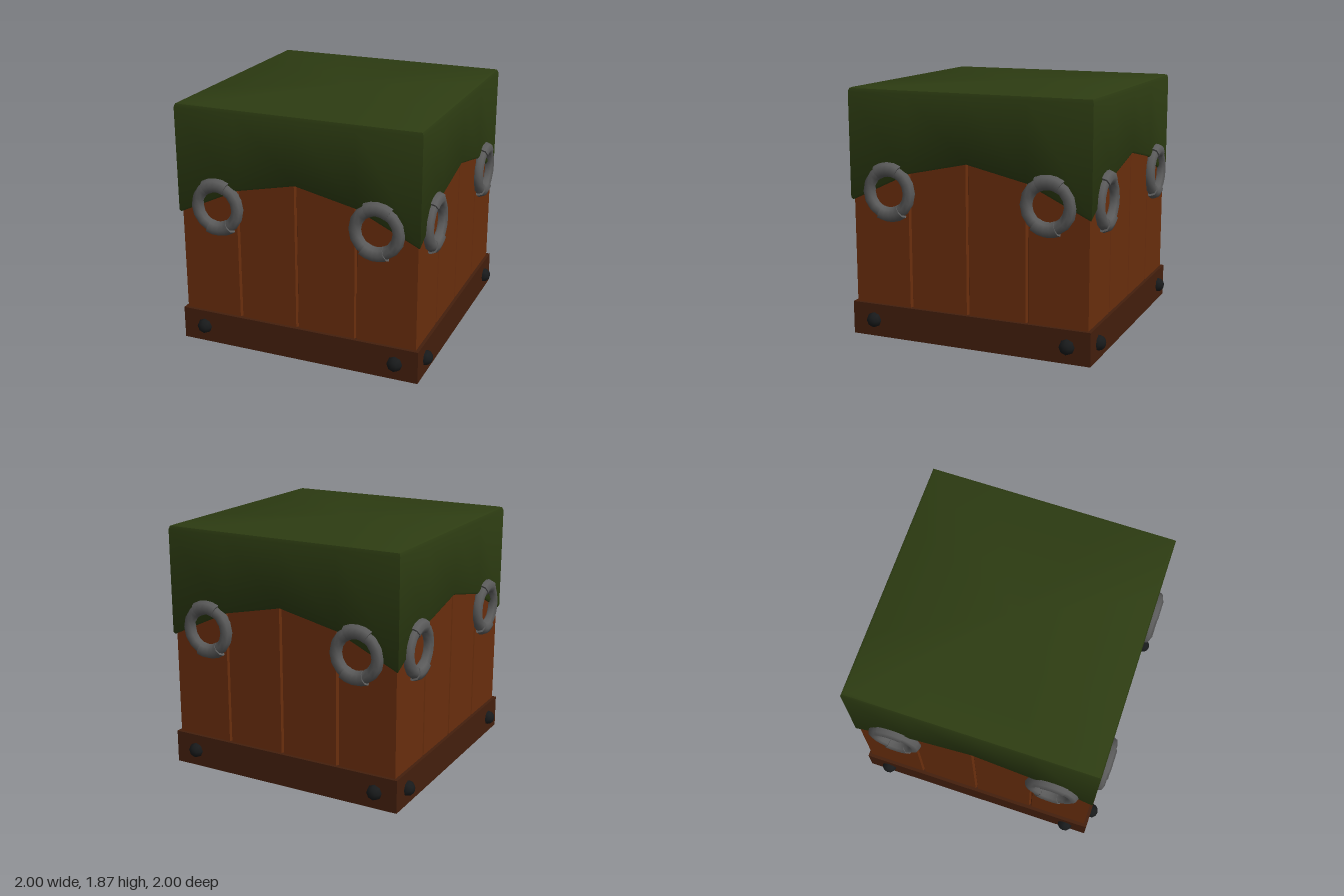
import * as THREE from 'three';
import { mergeGeometries, toCreasedNormals } from 'three/addons/utils/BufferGeometryUtils.js';

const material = (color) => new THREE.MeshStandardMaterial({ color });

function addMesh(parent, name, geometry, mat) {
  const mesh = new THREE.Mesh(geometry, mat);
  mesh.name = name;
  parent.add(mesh);
  return mesh;
}

// Square outline with V grooves between the planks, extruded upwards
function plankGeometry() {
  const half = 0.92, depth = 0.02, gap = 0.011;
  const points = [];
  for (let k = 0; k < 4; k++) {
    const side = [[-half, -half]];
    for (const g of [-0.46, 0, 0.46]) {
      side.push([g - gap, -half], [g, -half + depth], [g + gap, -half]);
    }
    const a = (k * Math.PI) / 2;
    for (const [x, y] of side) {
      points.push(new THREE.Vector2(
        x * Math.cos(a) - y * Math.sin(a), x * Math.sin(a) + y * Math.cos(a)));
    }
  }
  const geo = new THREE.ExtrudeGeometry(new THREE.Shape(points), { depth: 1.6, bevelEnabled: false });
  return geo.rotateX(-Math.PI / 2).translate(0, 0.22, 0);
}

// Cover: square rings from the draped hem up to the middle of the top
function coverGeometry() {
  const hem = [[-1, 1.035], [-0.49, 1.26], [0, 1.36], [0.49, 1.26]];
  const rows = (y) => [[0.912, y + 0.005], [0.93, y], [0.94, y + 0.015], [0.94, 1.835],
    [0.932, 1.86], [0.912, 1.868], [0, 1.87]];
  const columns = [];
  for (let k = 0; k < 4; k++) {
    for (const [u, y] of hem) {
      columns.push(rows(y).map(([r, h]) => new THREE.Vector3(u * r, h, r)
        .applyAxisAngle(new THREE.Vector3(0, 1, 0), (k * Math.PI) / 2)));
    }
  }
  const positions = [];
  columns.forEach((col, i) => {
    const next = columns[(i + 1) % columns.length];
    for (let j = 0; j < col.length - 1; j++) {
      const corners = [col[j], next[j], col[j + 1]];
      if (j < col.length - 2) corners.push(next[j], next[j + 1], col[j + 1]);
      corners.forEach((p) => positions.push(p.x, p.y, p.z));
    }
  });
  const geo = new THREE.BufferGeometry();
  geo.setAttribute('position', new THREE.Float32BufferAttribute(positions, 3));
  return toCreasedNormals(geo, 0.7);
}

// Thicker arc of the ring with closed ends
function sleeveGeometry(start, end) {
  const R = 0.168, r = 0.056, arc = end - start;
  const capEnd = new THREE.CircleGeometry(r, 8).rotateX(-Math.PI / 2).translate(R, 0, 0).rotateZ(arc);
  const capStart = new THREE.CircleGeometry(r, 8).rotateX(Math.PI / 2).translate(R, 0, 0);
  return mergeGeometries([new THREE.TorusGeometry(R, r, 8, 4, arc), capStart, capEnd]).rotateZ(start);
}

export function createModel() {
  const model = new THREE.Group();
  model.name = 'coveredCrate';
  const plankMat = material(0x6a2e0d);
  const baseMat = material(0x441f0d);
  const coverMat = material(0x2d3c12);
  const ringMat = material(0x5a5a5a);
  const boltMat = material(0x181a1b);

  addMesh(model, 'base', new THREE.BoxGeometry(1.89, 0.25, 1.89).translate(0, 0.125, 0), baseMat);
  addMesh(model, 'planks', plankGeometry(), plankMat);
  addMesh(model, 'cover', coverGeometry(), coverMat);

  // Rings and bolts, the same on all four sides
  const ringGeo = new THREE.TorusGeometry(0.163, 0.047, 8, 16);
  const deg = Math.PI / 180;
  const boltGeo = new THREE.SphereGeometry(0.06, 8, 6).rotateX(Math.PI / 2);
  for (let k = 0; k < 4; k++) {
    const side = new THREE.Group();
    side.name = 'sideFittings';
    side.rotation.y = (k * Math.PI) / 2;
    for (const s of [-1, 1]) {
      const ring = new THREE.Group();
      ring.name = 'tieRing';
      ring.position.set(s * 0.62, 1.115, 0.935);
      addMesh(ring, 'ring', ringGeo, ringMat);
      for (const mid of [90 - s * 3, 270 - s * 6]) {
        addMesh(ring, 'ringSleeve', sleeveGeometry((mid - 30) * deg, (mid + 30) * deg), ringMat);
      }
      side.add(ring);
      addMesh(side, 'bolt', boltGeo, boltMat).position.set(s * 0.77, 0.125, 0.94);
    }
    model.add(side);
  }
  return model;
}
